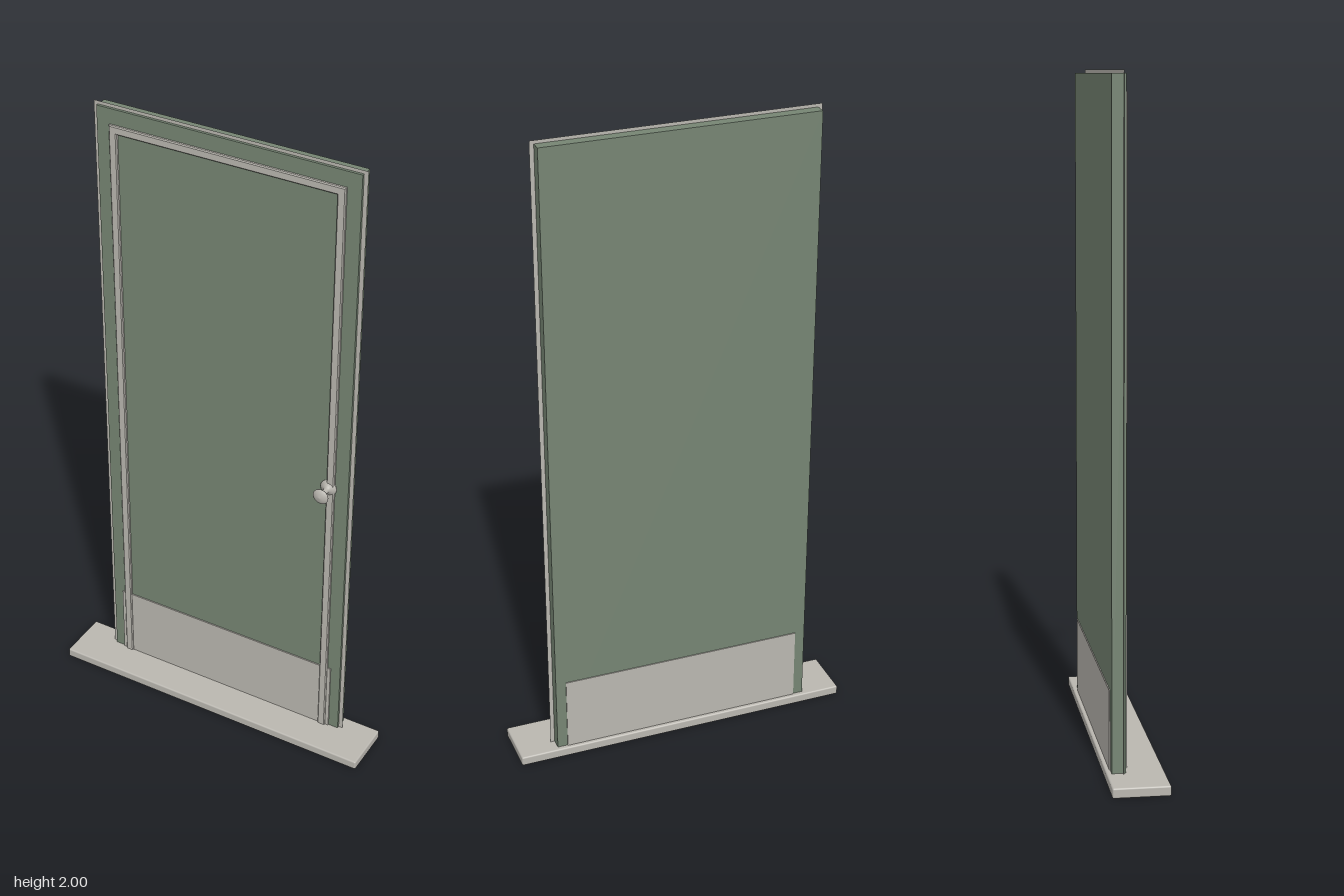
import * as THREE from 'three';
import { RoundedBoxGeometry } from 'three/addons/geometries/RoundedBoxGeometry.js';

const green = new THREE.MeshStandardMaterial({ name: 'sageGreen', color: 0x768573 });
const metal = new THREE.MeshStandardMaterial({ name: 'paleMetal', color: 0xbab7b0 });
const sealMetal = new THREE.MeshStandardMaterial({ name: 'sealMetal', color: 0xbab7b0, side: THREE.DoubleSide });

const FLOOR = 0.03; // top of the threshold
const FRONT = -0.028, BACK = -0.069; // faces of the door leaf

export function createModel() {
  const door = new THREE.Group();
  door.name = 'door';

  function add(name, geometry, material, x = 0, y = 0, z = 0) {
    const mesh = new THREE.Mesh(geometry, material);
    mesh.name = name;
    mesh.position.set(x, y, z);
    door.add(mesh);
    return mesh;
  }

  // Upside-down U outline, open at the threshold
  function archShape(outerX, outerY, innerX, innerY) {
    const points = [
      [-outerX, FLOOR], [-innerX, FLOOR], [-innerX, innerY], [innerX, innerY],
      [innerX, FLOOR], [outerX, FLOOR], [outerX, outerY], [-outerX, outerY],
    ];
    return new THREE.Shape(points.map(([x, y]) => new THREE.Vector2(x, y)));
  }

  // Threshold with softened edges
  add('threshold', new RoundedBoxGeometry(1.066, FLOOR, 0.167, 2, 0.005), metal, 0, FLOOR / 2, 0);

  // Door leaf
  const height = 1.99 - FLOOR;
  add('doorLeaf', new THREE.BoxGeometry(0.826, height, FRONT - BACK), green,
    0, FLOOR + height / 2, (FRONT + BACK) / 2);

  // Paper-thin seal showing just beyond the leaf
  add('edgeSeal', new THREE.ShapeGeometry(archShape(0.426, 2, 0.413, 1.99)), sealMetal, 0, 0, FRONT - 0.008);

  // Kick plates on both faces
  for (const [name, z] of [['frontKickPlate', FRONT + 0.002], ['backKickPlate', BACK - 0.001]]) {
    add(name, new THREE.BoxGeometry(0.762, 0.235, 0.004), metal, 0, FLOOR + 0.1175, z);
  }

  // Raised trim strip with bevelled edges on the front
  const trim = new THREE.ExtrudeGeometry(archShape(0.367, 1.94, 0.348, 1.921), {
    depth: 0.006, bevelEnabled: true, bevelThickness: 0.003, bevelSize: 0.003, bevelSegments: 1,
  });
  add('trimStrip', trim, metal, 0, 0, FRONT);

  // Knob: flared rose, thin stem and flattened head
  const profile = [
    [0, 0], [0.026, 0], [0.026, 0.004], [0.018, 0.011], [0.010, 0.015], [0.008, 0.020],
    [0.008, 0.040], [0.012, 0.045], [0.024, 0.050], [0.025, 0.053], [0.021, 0.057],
    [0.012, 0.061], [0, 0.063],
  ];
  const knob = new THREE.LatheGeometry(profile.map(([r, h]) => new THREE.Vector2(r, h)), 24);
  knob.rotateX(Math.PI / 2);
  add('knob', knob, metal, 0.35, 0.955, FRONT);

  return door;
}
